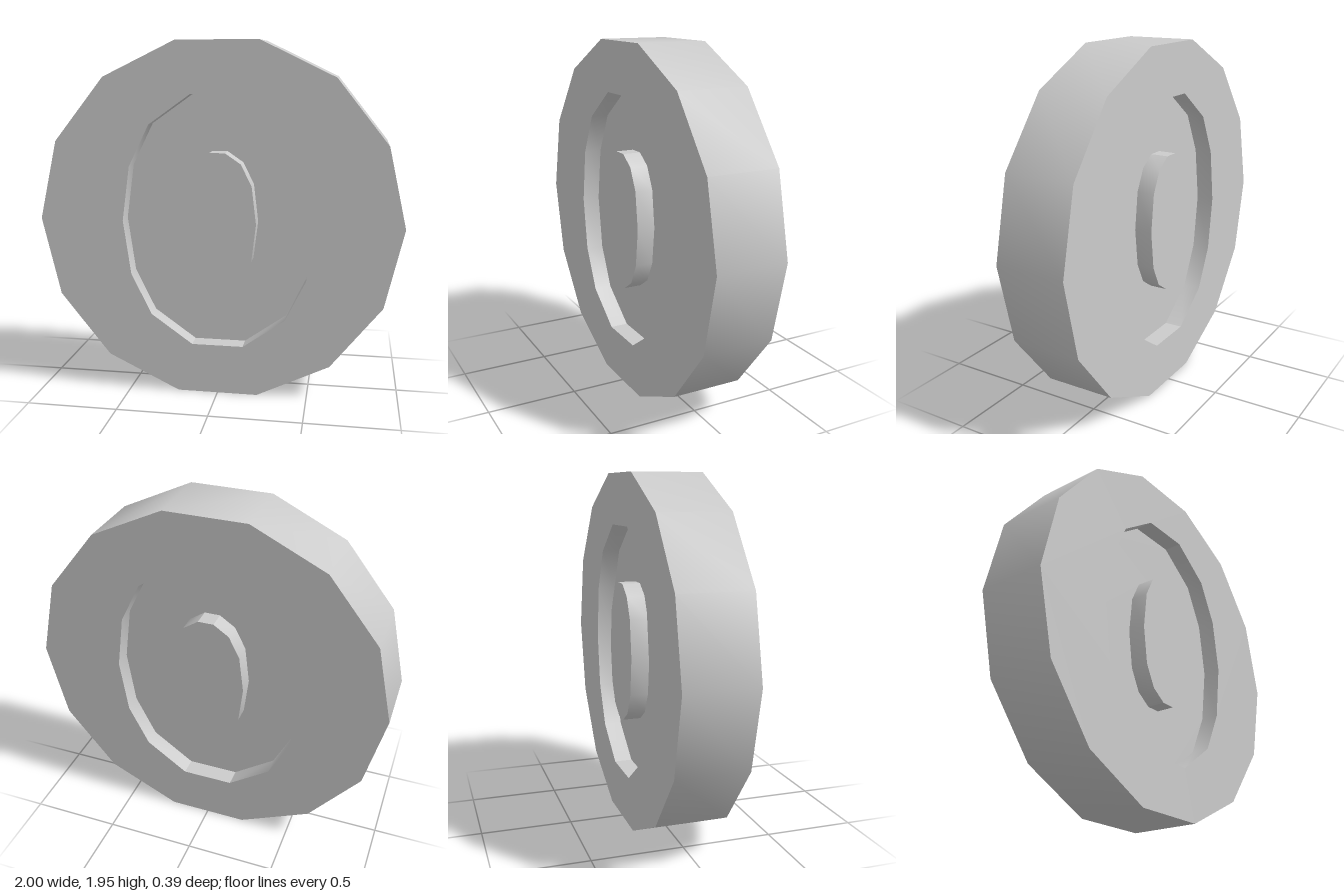
import * as THREE from 'three';
import { toCreasedNormals } from 'three/addons/utils/BufferGeometryUtils.js';

const HALF = 0.195;   // half thickness
const FLOOR = 0.095;  // height of the recessed floor from the mid plane
const CENTRE_Y = 0.975;

// Mirrors a quarter outline (from +x towards +y) into a closed 14-gon, counter-clockwise.
function outline(quarter) {
  const p = quarter.map(([x, y]) => new THREE.Vector2(x, y));
  const flip = (v, sx, sy) => new THREE.Vector2(v.x * sx, v.y * sy);
  return [
    ...p,
    ...p.slice().reverse().map(v => flip(v, -1, 1)),
    ...p.slice(1).map(v => flip(v, -1, -1)),
    ...p.slice(1).reverse().map(v => flip(v, 1, -1)),
  ];
}

const DISC = outline([[1, 0], [0.901, 0.434], [0.623, 0.782], [0.223, 0.975]]);
const RECESS = outline([[0.529, 0], [0.487, 0.302], [0.374, 0.531], [0.143, 0.695]]);
const CORE = outline([[0.212, 0], [0.187, 0.208], [0.128, 0.326], [0.043, 0.384]]);

// Smooth band along an outline between two depths; faces outwards for a counter-clockwise outline.
function band(points, z0, z1) {
  const pos = [];
  points.forEach((a, i) => {
    const b = points[(i + 1) % points.length];
    pos.push(a.x, a.y, z0, b.x, b.y, z0, b.x, b.y, z1);
    pos.push(a.x, a.y, z0, b.x, b.y, z1, a.x, a.y, z1);
  });
  const g = new THREE.BufferGeometry();
  g.setAttribute('position', new THREE.Float32BufferAttribute(pos, 3));
  return toCreasedNormals(g, 0.56);
}

// Flat face at a given depth, with an optional hole.
function plate(points, hole, z) {
  const shape = new THREE.Shape(points);
  if (hole) shape.holes.push(new THREE.Path(hole));
  return new THREE.ShapeGeometry(shape).translate(0, 0, z);
}

export function createModel() {
  const model = new THREE.Group();
  model.name = 'disc';
  const material = new THREE.MeshStandardMaterial({ color: 0xcccccc });
  const add = (parent, name, geometry) => {
    const mesh = new THREE.Mesh(geometry, material);
    mesh.name = name;
    parent.add(mesh);
  };

  const body = new THREE.Group();
  body.name = 'body';
  body.position.y = CENTRE_Y;
  model.add(body);

  // Outer edge of the disc
  add(body, 'outerRim', band(DISC, -HALF, HALF));

  // Both sides: flat face, oval recess and raised oval core
  for (const name of ['frontSide', 'backSide']) {
    const side = new THREE.Group();
    side.name = name;
    if (name === 'backSide') side.rotation.y = Math.PI;
    add(side, 'face', plate(DISC, RECESS, HALF));
    add(side, 'recessWall', band([...RECESS].reverse(), FLOOR, HALF));
    add(side, 'recessFloor', plate(RECESS, CORE, FLOOR));
    add(side, 'coreWall', band(CORE, FLOOR, HALF));
    add(side, 'coreFace', plate(CORE, null, HALF));
    body.add(side);
  }
  return model;
}
